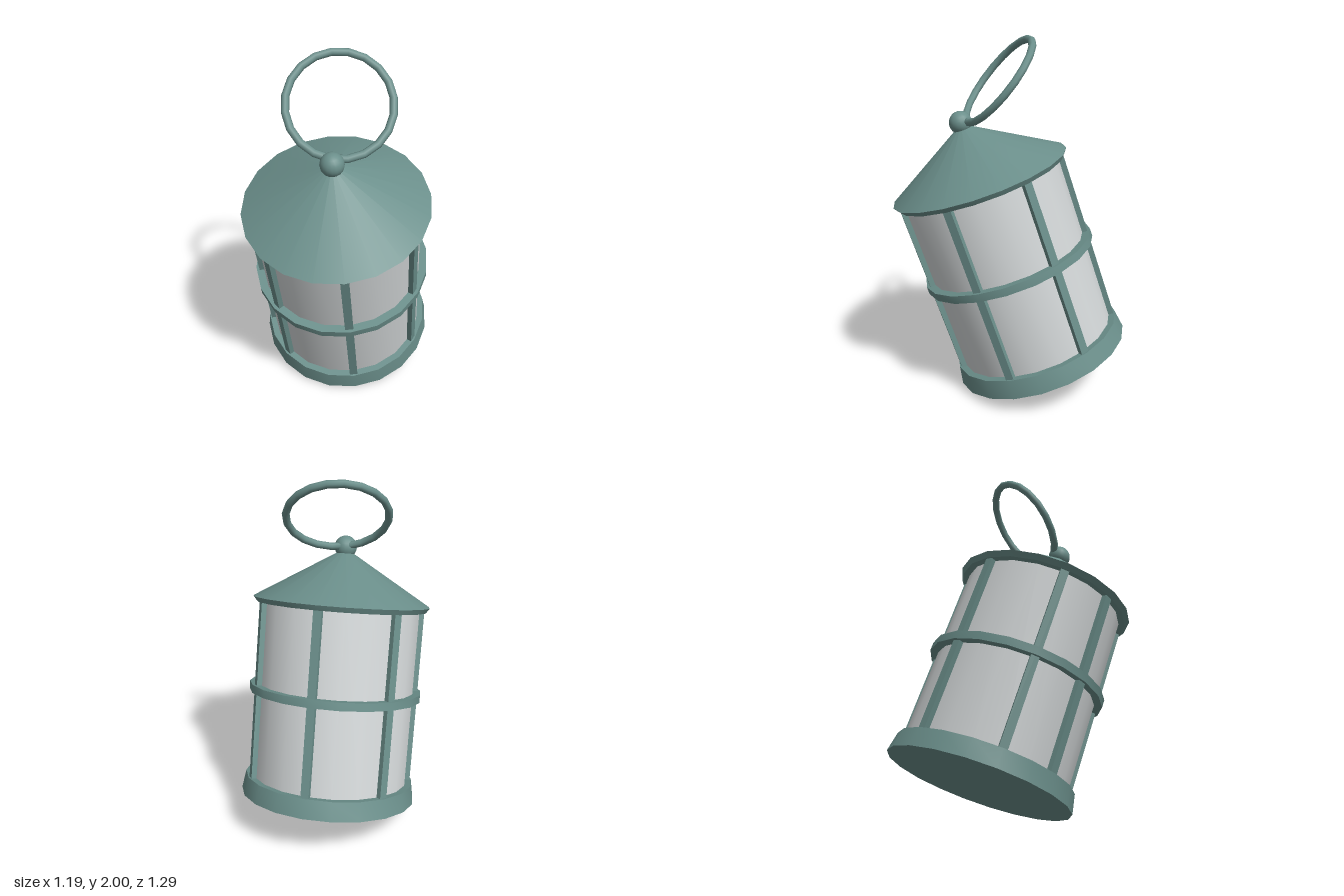
import * as THREE from 'three';
import { toCreasedNormals } from 'three/addons/utils/BufferGeometryUtils.js';

const SIDES = 20;

export function createModel() {
  const model = new THREE.Group();
  model.name = 'lantern';
  const metal = new THREE.MeshStandardMaterial({ color: 0x6b8f8b });
  metal.name = 'green metal';
  const glass = new THREE.MeshStandardMaterial({ color: 0xd2d6d7 });
  glass.name = 'pale glass';

  // Everything below the handle tilts about the centre of the base
  const body = new THREE.Group();
  body.name = 'tiltedBody';
  body.position.set(0.097, 0.158, -0.153);
  body.rotation.set(0.272, 0, 0.173, 'ZYX');
  model.add(body);

  const add = (parent, name, geometry, material) => {
    const mesh = new THREE.Mesh(geometry, material);
    mesh.name = name;
    parent.add(mesh);
    return mesh;
  };
  // Turned part from [radius, height] points, outside listed upwards
  const turned = (name, points, material) => {
    const profile = points.map(([r, y]) => new THREE.Vector2(r, y));
    return add(body, name, toCreasedNormals(new THREE.LatheGeometry(profile, SIDES), 0.5), material);
  };

  turned('base', [[0, 0], [0.51, 0], [0.492, 0.105], [0, 0.105]], metal);
  turned('glassCylinder', [[0.455, 0.1], [0.455, 1.13]], glass);
  turned('middleRing', [[0.44, 0.6], [0.5, 0.6], [0.5, 0.645], [0.44, 0.645]], metal);
  turned('roof', [[0, 1.112], [0.49, 1.112], [0.51, 1.14], [0, 1.445]], metal);

  // Struts on every third corner of the cylinder, leaving one narrow gap
  for (let i = 0; i < 7; i++) {
    const angle = ((3 * i - 4) * 2 * Math.PI) / SIDES;
    const strut = add(body, 'strut', new THREE.BoxGeometry(0.046, 1.03, 0.05), metal);
    strut.position.set(Math.sin(angle) * 0.456, 0.61, Math.cos(angle) * 0.456);
    strut.rotation.y = angle;
  }

  // Finial ball
  add(body, 'finial', new THREE.SphereGeometry(0.064, 16, 12), metal).position.y = 1.452;

  // Loose ring handle, leaning back from the finial
  const handle = add(model, 'handle', new THREE.TorusGeometry(0.277, 0.021, 8, 20), metal);
  handle.position.set(-0.034, 1.763, 0.06);
  const normal = new THREE.Vector3(-0.24, 0.624, 0.744).normalize();
  handle.quaternion.setFromUnitVectors(new THREE.Vector3(0, 0, 1), normal);

  return model;
}
